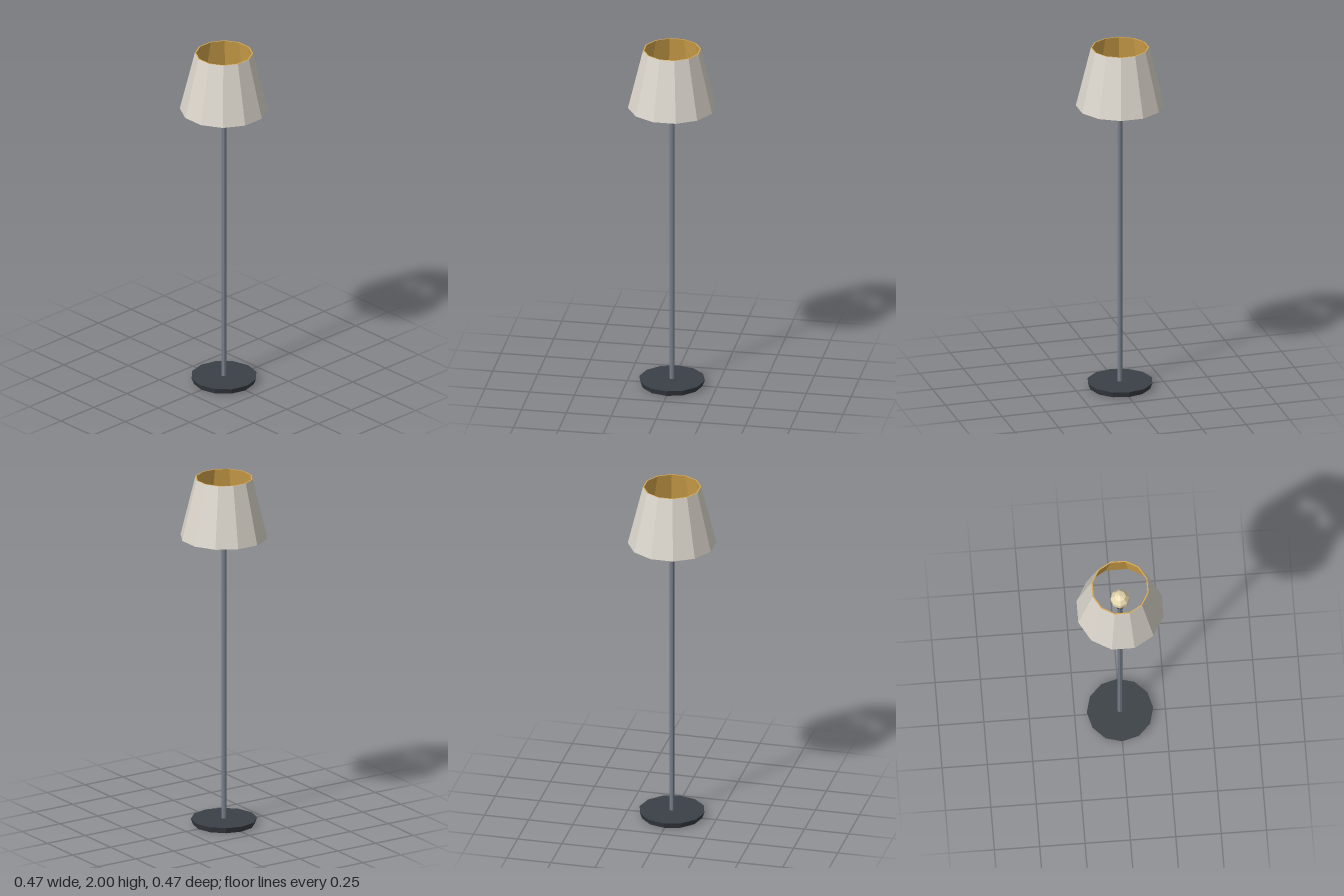
import * as THREE from 'three';

const flat = (name, color, side = THREE.FrontSide) => {
  const m = new THREE.MeshStandardMaterial({ color, flatShading: true, side });
  m.name = name;
  return m;
};

export function createModel() {
  const lamp = new THREE.Group();
  lamp.name = 'floorLamp';

  const charcoal = flat('charcoal', 0x3a4046);
  const steel = flat('steel', 0x767e89);
  const linen = flat('linen', 0xdcd6cc);
  const gold = flat('gold', 0xd9a94e, THREE.DoubleSide);
  const cream = flat('cream', 0xe9dbb2);

  const add = (name, geometry, material, y = 0) => {
    const mesh = new THREE.Mesh(geometry, material);
    mesh.name = name;
    mesh.position.y = y;
    lamp.add(mesh);
    return mesh;
  };

  // Foot: disc that narrows towards the floor
  add('base', new THREE.CylinderGeometry(0.183, 0.17, 0.033, 12), charcoal, 0.0165);

  // Stem, bulb holder and bulb
  add('pole', new THREE.CylinderGeometry(0.013, 0.013, 1.7, 8), steel, 0.88);
  add('socket', new THREE.CylinderGeometry(0.026, 0.026, 0.06, 8), charcoal, 1.75);
  add('bulb', new THREE.SphereGeometry(0.0545, 8, 5), cream, 1.82);

  // Twelve-sided shade, with a flat side facing the front
  const turn = Math.PI / 12;
  const outer = new THREE.CylinderGeometry(0.16, 0.243, 0.34, 12, 1, true, turn);
  add('shade', outer, linen, 1.83);

  // Lining with narrow rims that close the shade's thickness
  const profile = [[0.243, 1.66], [0.237, 1.66], [0.153, 2], [0.16, 2]]
    .map(([r, y]) => new THREE.Vector2(r, y));
  add('shadeLining', new THREE.LatheGeometry(profile, 12, turn), gold);

  return lamp;
}
